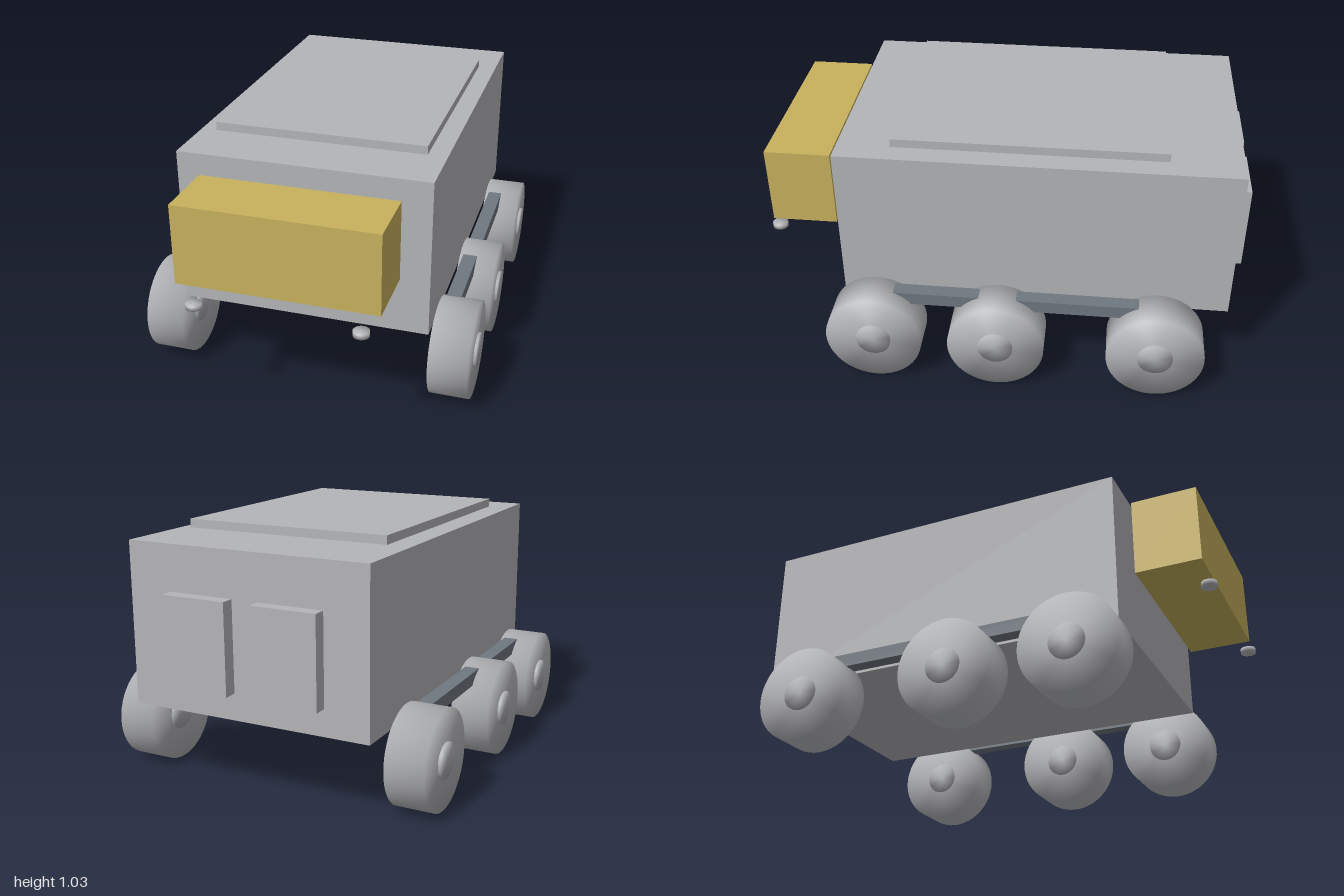
import * as THREE from 'three';
import { mergeVertices } from 'three/addons/utils/BufferGeometryUtils.js';

const material = (name, color) => Object.assign(new THREE.MeshStandardMaterial({ color }), { name });

export function createModel() {
  const grey = material('light grey', 0xb4b5b8);
  const gold = material('gold', 0xc8b25e);
  const steel = material('steel', 0x707880);
  const model = new THREE.Group();
  model.name = 'sixWheeledVehicle';

  const add = (name, geometry, mat, x, y, z) => {
    const mesh = new THREE.Mesh(geometry, mat);
    mesh.name = name;
    mesh.position.set(x, y, z);
    model.add(mesh);
  };

  // Box given by its lower and upper limits on each axis
  const addBox = (name, mat, [x0, x1], [y0, y1], [z0, z1]) =>
    add(name, new THREE.BoxGeometry(x1 - x0, y1 - y0, z1 - z0), mat,
      (x0 + x1) / 2, (y0 + y1) / 2, (z0 + z1) / 2);

  // Cylinder whose rim normals blend softly into its flat ends
  const softCylinder = (radius, length) => {
    const g = new THREE.CylinderGeometry(radius, radius, length, 48);
    g.deleteAttribute('normal');
    g.deleteAttribute('uv');
    const merged = mergeVertices(g, 1e-4);
    merged.computeVertexNormals();
    return merged;
  };

  // Hull, roof plate and cab
  addBox('body', grey, [-0.51, 0.51], [0.333, 0.985], [-0.945, 0.655]);
  addBox('roofPlate', grey, [-0.435, 0.435], [0.995, 1.03], [-0.655, 0.435]);
  addBox('cab', gold, [-0.4, 0.4], [0.587, 0.915], [0.695, 0.965]);

  // Rear doors
  addBox('rearDoorRight', grey, [-0.328, -0.057], [0.44, 0.802], [-1, -0.945]);
  addBox('rearDoorLeft', grey, [0.053, 0.324], [0.44, 0.802], [-1, -0.945]);

  const wheelShape = softCylinder(0.2, 0.16).rotateZ(Math.PI / 2);
  const hubShape = softCylinder(0.072, 0.17).rotateZ(Math.PI / 2);
  const lampShape = softCylinder(0.032, 0.02);

  for (const side of [-1, 1]) {
    const label = side > 0 ? 'Left' : 'Right';
    // Lamp discs below the cab
    add('headlamp' + label, lampShape, grey, side * 0.328, 0.506, 0.968);
    // Suspension bar linking the three wheels
    const bar = new THREE.BoxGeometry(0.06, 0.055, 1.165);
    add('suspensionBar' + label, bar, steel, side * 0.564, 0.359, -0.0725);
    // Wheels with protruding hubs
    [['front', 0.51], ['middle', 0], ['rear', -0.655]].forEach(([place, z]) => {
      add(place + 'Wheel' + label, wheelShape, grey, side * 0.6, 0.202, z);
      add(place + 'Hub' + label, hubShape, grey, side * 0.604, 0.202, z);
    });
  }
  return model;
}
